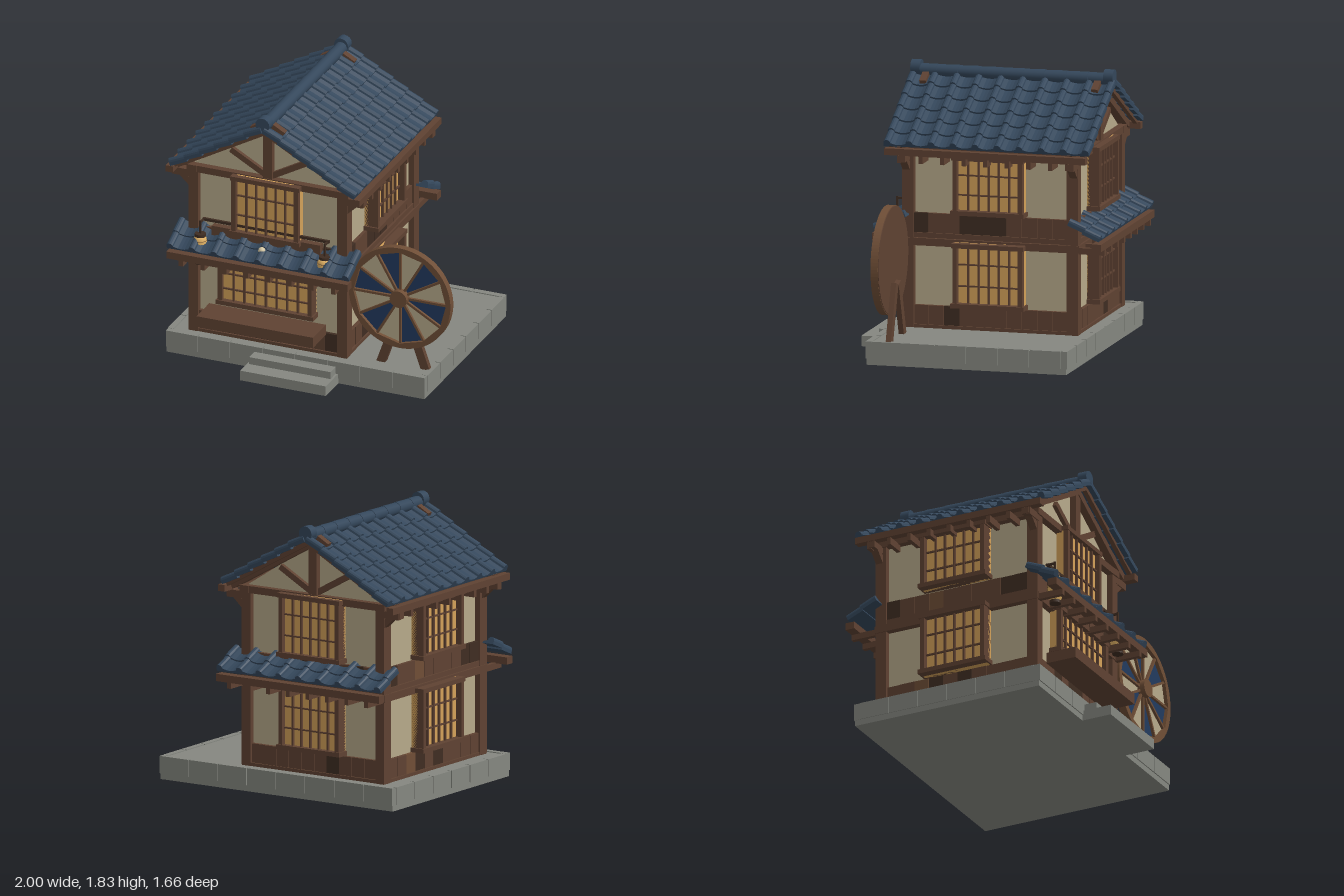
import * as THREE from 'three';

const mat = (name, color) => Object.assign(new THREE.MeshStandardMaterial({ color }), { name });

export function createModel() {
  const M = {
    stone: mat('stone', 0x858780), wood: mat('brown timber', 0x5f4232), dark: mat('dark timber', 0x3f2d22),
    plaster: mat('plaster', 0xb6a98a), glow: mat('paper window', 0xd3a159), tile: mat('roof tile', 0x34475b),
    blue: mat('wheel blue', 0x223a5e), rim: mat('wheel timber', 0x6f4e36),
    cream: mat('cream', 0xd2c4a0), lantern: mat('lantern paper', 0xdcae62),
  };
  const root = new THREE.Group();
  const CX = -0.305, CZ = -0.05;

  const add = (parent, geo, material, name, x = 0, y = 0, z = 0) => {
    const m = new THREE.Mesh(geo, material);
    m.name = name;
    m.position.set(x, y, z);
    parent.add(m);
    return m;
  };
  // box given by its limits
  const span = (p, m, name, x0, x1, y0, y1, z0, z1) => add(p, new THREE.BoxGeometry(x1 - x0, y1 - y0, z1 - z0),
    m, name, (x0 + x1) / 2, (y0 + y1) / 2, (z0 + z1) / 2);
  // timber between two points in the xy plane
  const strut = (p, m, name, ax, ay, bx, by, t, z, d) => {
    const s = add(p, new THREE.BoxGeometry(Math.hypot(bx - ax, by - ay), t, d), m, name, (ax + bx) / 2, (ay + by) / 2, z);
    s.rotation.z = Math.atan2(by - ay, bx - ax);
    return s;
  };
  const group = (name, parent = root) => {
    const g = new THREE.Group();
    g.name = name;
    parent.add(g);
    return g;
  };
  let seed = 7;
  const rand = () => (seed = (seed * 16807) % 2147483647) / 2147483647;

  // stone base with edging blocks and steps
  const base = group('stoneBase');
  span(base, M.stone, 'baseCore', -0.995, 0.845, 0, 0.15, -0.735, 0.625);
  const edge = (n, a, b, alongX, c0, c1) => {
    const w = (b - a) / n;
    for (let i = 0; i < n; i++) {
      const s = a + i * w + 0.004, e = a + (i + 1) * w - 0.004;
      if (alongX) span(base, M.stone, 'edgeStone', s, e, 0.04, 0.156, c0, c1);
      else span(base, M.stone, 'edgeStone', c0, c1, 0.04, 0.156, s, e);
    }
  };
  edge(8, -1, 0.85, true, 0.59, 0.632);
  edge(8, -1, 0.85, true, -0.742, -0.7);
  edge(6, -0.7, 0.59, false, -1, -0.96);
  edge(6, -0.7, 0.59, false, 0.81, 0.85);
  span(base, M.stone, 'lowerStep', -0.38, 0.23, 0, 0.07, 0.6, 0.835);
  span(base, M.stone, 'upperStep', -0.365, 0.215, 0.06, 0.12, 0.6, 0.72);

  // latticed window on a wall, local z pointing outwards
  const makeWindow = (p, w, y0, y1, d, out, bars) => {
    const g = group('window', p), h = w / 2;
    span(g, M.glow, 'windowPaper', -h, h, y0, y1, d - 0.03, d + 0.02);
    for (const s of [-1, 1]) add(g, new THREE.BoxGeometry(0.03, y1 - y0, out + 0.03), M.wood, 'windowSide',
      s * (h - 0.015), (y0 + y1) / 2, d + (out - 0.03) / 2);
    span(g, M.wood, 'windowHead', -h - 0.008, h + 0.008, y1 - 0.03, y1, d - 0.03, d + out + 0.004);
    span(g, M.wood, 'windowSill', -h - 0.012, h + 0.012, y0, y0 + 0.03, d - 0.03, d + out + 0.008);
    for (let i = 1; i <= bars; i++)
      add(g, new THREE.BoxGeometry(0.012, y1 - y0, 0.018), M.wood, 'lattice', -h + 0.03 + (w - 0.06) * i / (bars + 1), (y0 + y1) / 2, d + 0.028);
    for (const t of [1 / 3, 2 / 3])
      add(g, new THREE.BoxGeometry(w, 0.01, 0.014), M.wood, 'lattice', 0, y0 + (y1 - y0) * t, d + 0.026);
  };

  // four walls
  const house = group('house');
  house.position.set(CX, 0, CZ);
  span(house, M.plaster, 'plasterCore', -0.525, 0.525, 0.15, 1.34, -0.56, 0.56);
  for (const sx of [-1, 1]) for (const sz of [-1, 1])
    add(house, new THREE.BoxGeometry(0.07, 1.18, 0.08), M.wood, 'cornerPost', sx * 0.53, 0.745, sz * 0.56);
  const planks = [M.wood, M.wood, M.dark, M.wood, M.rim];
  for (let k = 0; k < 4; k++) {
    const side = k % 2, hw = side ? 0.6 : 0.565, d = side ? 0.565 : 0.6;
    const wall = group(['frontWall', 'leftWall', 'backWall', 'rightWall'][k], house);
    wall.rotation.y = k * Math.PI / 2;
    const n = 10, iw = hw - 0.07, pw = 2 * iw / n;
    for (const [y0, y1] of [[0.16, 0.3], [0.78, 0.915]]) for (let i = 0; i < n; i++) {
      const t = 0.012 + 0.006 * rand();
      span(wall, planks[Math.floor(rand() * 4.3)], 'wainscotPlank', -iw + i * pw + 0.001, -iw + (i + 1) * pw - 0.001, y0, y1, d - 0.06, d - t);
    }
    span(wall, M.wood, 'sillBeam', -hw, hw, 0.15, 0.172, d - 0.06, d - 0.004);
    span(wall, M.wood, 'middleBeam', -hw, hw, 0.7, 0.75, d - 0.06, d + 0.006);
    span(wall, M.wood, 'floorBeam', -hw, hw, 0.752, 0.785, d - 0.06, d - 0.004);
    span(wall, M.wood, 'topBeam', -hw - 0.01, hw + 0.01, 1.31, 1.357, d - 0.06, d + 0.008);
    const out = side ? 0.066 : 0.052;
    makeWindow(wall, 0.475, 0.925, side ? 1.32 : 1.35, d, out, 5);
    if (k === 0) makeWindow(wall, 0.67, 0.405, 0.735, d, out, 7);
    else makeWindow(wall, 0.475, 0.305, 0.735, d, out, 5);

    if (side) {
      // eave beam, rafter ends and corner brackets
      span(wall, M.wood, 'eaveBeam', -0.685, 0.685, 1.315, 1.36, 0.64, 0.692);
      for (let i = 0; i < 9; i++) add(wall, new THREE.BoxGeometry(0.028, 0.05, 0.14), M.wood, 'rafterEnd', (i - 4) * 0.147, 1.29, 0.61);
      for (const s of [-1, 1]) {
        const b = add(wall, new THREE.BoxGeometry(0.05, 0.04, 0.17), M.wood, 'eaveBracket', s * 0.57, 1.27, 0.61);
        b.rotation.x = -0.75;
        span(wall, M.wood, 'beamEnd', s * 0.57 - 0.025, s * 0.57 + 0.025, 1.27, 1.315, 0.52, 0.685);
      }
    } else {
      // gable with its truss
      const tri = new THREE.Shape([[-0.565, 1.34], [0.565, 1.34], [0, 1.7]].map(([x, y]) => new THREE.Vector2(x, y)));
      add(wall, new THREE.ExtrudeGeometry(tri, { depth: 0.02, bevelEnabled: false }), M.plaster, 'gableWall', 0, 0, d - 0.06);
      span(wall, M.wood, 'kingPost', -0.032, 0.032, 1.35, 1.71, d - 0.05, d + 0.004);
      for (const s of [-1, 1]) {
        strut(wall, M.wood, 'gableRafter', s * 0.64, 1.345, 0, 1.705, 0.045, d - 0.02, 0.06);
        strut(wall, M.wood, 'gableStrut', s * 0.02, 1.37, s * 0.27, 1.51, 0.04, d - 0.03, 0.035);
        strut(wall, M.wood, 'bargeBoard', s * 0.64, 1.365, 0, 1.715, 0.03, d + 0.05, 0.03);
        strut(wall, M.wood, 'ridgeTie', s * 0.115, 1.697, s * 0.02, 1.75, 0.035, d - 0.015, 0.045);
      }
      // beam and brackets carrying the lower roof
      span(wall, M.wood, 'lowerEaveBeam', -0.645, 0.645, 0.733, 0.782, 0.715, 0.78);
      for (let i = 0; i < 8; i++) add(wall, new THREE.BoxGeometry(0.03, 0.042, 0.2), M.wood, 'lowerRafter', (i - 3.5) * 0.155, 0.715, 0.68);
    }
  }

  // overlapping rows of pan and cover tiles; local z runs down the slope
  const tileField = (name, width, cols, length, rows) => {
    const g = group(name), p = width / cols, r = 0.024, hw = width / 2, top = [];
    for (let c = 0; c <= cols; c++) {
      const x = -hw + c * p;
      for (let a = 0; a <= 6; a++) {
        const t = Math.PI * (1 - a / 6);
        top.push(new THREE.Vector2(x + r * Math.cos(t), 0.024 + r * Math.sin(t)));
      }
      if (c < cols) for (const f of [0.35, 0.5, 0.65]) top.push(new THREE.Vector2(x + p * f, f === 0.5 ? 0.012 : 0.014));
    }
    const shape = new THREE.Shape([new THREE.Vector2(-hw - r, 0), ...top, new THREE.Vector2(hw + r, 0)]);
    const L = length / rows;
    const geo = new THREE.ExtrudeGeometry(shape, { depth: L * 1.08, bevelEnabled: false });
    for (let i = 0; i < rows; i++) add(g, geo, M.tile, 'tileRow', 0, 0, i * L).rotation.x = -0.1;
    return g;
  };
  const place = (g, x, y, z, turn, pitch) => {
    g.position.set(x, y, z);
    g.rotation.set(pitch, turn, 0, 'YXZ');
  };
  for (const s of [-1, 1]) {
    place(tileField('mainRoof', 1.35, 9, 0.735, 6), CX, 1.726, CZ, s * Math.PI / 2, 0.52);
    place(tileField('lowerRoof', 1.25, 8, 0.225, 2), CX, 0.9, CZ + s * 0.55, s > 0 ? 0 : Math.PI, 0.5);
  }

  // ridge of round tiles with end caps
  const ridge = group('ridge');
  for (let i = 0; i < 9; i++) {
    add(ridge, new THREE.CylinderGeometry(0.041, 0.044, 0.147, 14), M.tile, 'ridgeTile', CX, 1.763, CZ + (i - 4) * 0.147).rotation.x = Math.PI / 2;
  }
  for (const s of [-1, 1])
    add(ridge, new THREE.CylinderGeometry(0.05, 0.05, 0.065, 16), M.tile, 'ridgeEnd', CX, 1.78, CZ + s * 0.657).rotation.x = Math.PI / 2;

  // front bench, balcony panel, rail, lanterns and ornament
  const front = group('frontFittings');
  span(front, M.wood, 'bench', -0.725, 0.105, 0.29, 0.365, 0.54, 0.755);
  span(front, M.wood, 'balconyPanel', -0.695, 0.08, 0.85, 0.95, 0.53, 0.575);
  span(front, M.dark, 'balconyRail', -0.76, 0.14, 0.975, 0.993, 0.555, 0.573);
  const profile = [[0, 0.7], [0.034, 0.7], [0.034, 0.715], [0.047, 0.74], [0.052, 0.8], [0.047, 0.86], [0.034, 0.885], [0, 0.885]]
    .map(([x, y]) => new THREE.Vector2(x, y));
  for (const x of [-0.755, 0.13]) {
    add(front, new THREE.LatheGeometry(profile, 16), M.lantern, 'lantern', x, 0, 0.62);
    for (const y of [0.7, 0.895]) add(front, new THREE.CylinderGeometry(0.038, 0.038, 0.02, 12), M.dark, 'lanternCap', x, y, 0.62);
    for (const y of [0.74, 0.77, 0.8, 0.83, 0.86])
      add(front, new THREE.TorusGeometry(y === 0.8 ? 0.051 : 0.048, 0.002, 4, 16), M.rim, 'lanternHoop', x, y, 0.62).rotation.x = Math.PI / 2;
    span(front, M.dark, 'lanternRod', x - 0.006, x + 0.006, 0.9, 0.995, 0.612, 0.624);
    span(front, M.dark, 'lanternArm', x - 0.006, x + 0.006, 0.977, 0.99, 0.55, 0.624);
  }
  add(front, new THREE.SphereGeometry(0.025, 12, 8), M.cream, 'ornament', -0.31, 0.867, 0.635);

  // wheel with coloured sectors on an A-shaped stand
  const wheel = group('wheel');
  wheel.position.set(0.637, 0.665, 0);
  const R = 0.362, N = 12;
  const back = add(wheel, new THREE.CylinderGeometry(R - 0.004, R - 0.004, 0.025, 48), M.wood, 'wheelBack', 0, 0, 0.513);
  back.rotation.x = Math.PI / 2;
  const ring = new THREE.Shape().absarc(0, 0, R, 0, Math.PI * 2);
  const hole = [];
  for (let i = 0; i < N; i++) hole.push(new THREE.Vector2(0.33 * Math.cos(i * Math.PI / 6), 0.33 * Math.sin(i * Math.PI / 6)));
  ring.holes.push(new THREE.Path(hole));
  add(wheel, new THREE.ExtrudeGeometry(ring, { depth: 0.05, bevelEnabled: false, curveSegments: 48 }), M.rim, 'wheelRim', 0, 0, 0.505);
  for (let i = 0; i < N; i++) {
    const a = i * Math.PI / 6;
    add(wheel, new THREE.CircleGeometry(0.34, 3, a, Math.PI / 6), i % 2 ? M.blue : M.plaster, 'wheelSector', 0, 0, 0.53);
    strut(wheel, M.rim, 'spoke', 0.03 * Math.cos(a), 0.03 * Math.sin(a), 0.335 * Math.cos(a), 0.335 * Math.sin(a), 0.016, 0.536, 0.024);
  }
  add(wheel, new THREE.CylinderGeometry(0.06, 0.06, 0.075, 20), M.rim, 'hub', 0, 0, 0.543).rotation.x = Math.PI / 2;
  for (const s of [-1, 1]) strut(wheel, M.wood, 'wheelLeg', s * 0.03, -0.15, s * 0.16, -0.52, 0.06, 0.483, 0.035);
  return root;
}
